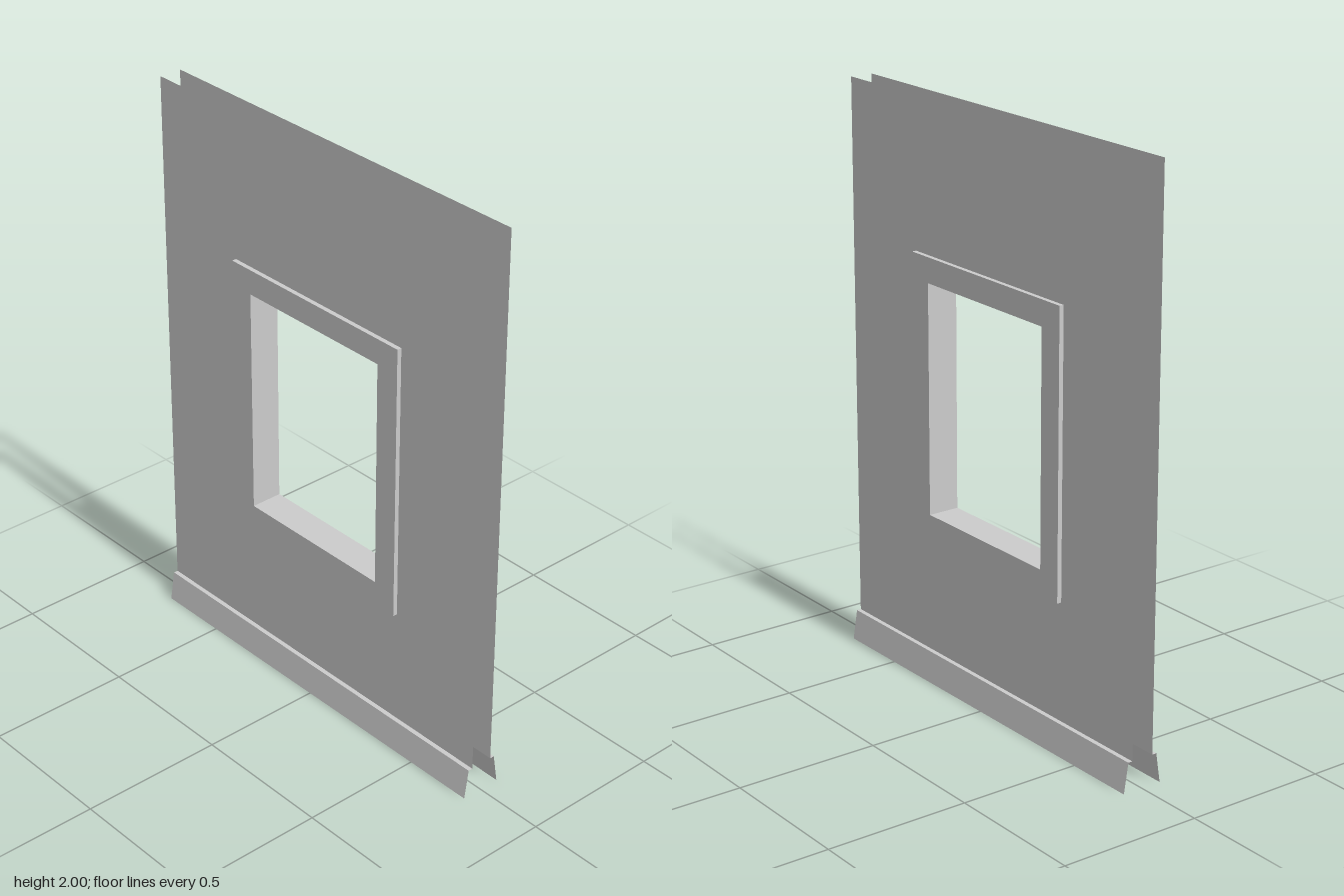
import * as THREE from 'three';

const W = 0.75, H = 2;                 // half width and height of the wall
const WALL_Z = 0.04, TRIM_Z = 0.056, FOOT_Z = 0.072;
const SKIRT_Y = 0.104;                 // top of the skirting
const OPEN_W = 0.3, OPEN_H = 0.4;      // half size of the window opening
const TRIM_W = 0.388, TRIM_H = 0.487;  // half size of the window trim
const MID_Y = 1;

const material = new THREE.MeshStandardMaterial({ color: 0xcccccc, side: THREE.DoubleSide, flatShading: true });

function part(name, geometry) {
  const mesh = new THREE.Mesh(geometry, material);
  mesh.name = name;
  return mesh;
}

function rect(target, x, y0, y1) {
  target.moveTo(-x, y0);
  target.lineTo(x, y0);
  target.lineTo(x, y1);
  target.lineTo(-x, y1);
  target.closePath();
  return target;
}

// Rectangle with a rectangular hole, both centred on the window
function framed(x, y0, y1, holeX, holeH) {
  const shape = rect(new THREE.Shape(), x, y0, y1);
  shape.holes.push(rect(new THREE.Path(), holeX, MID_Y - holeH, MID_Y + holeH));
  return shape;
}

// Open strip across the full width, following a profile of [y, z] points
function strip(profile) {
  const geometry = new THREE.PlaneGeometry(2 * W, 1, 1, profile.length - 1);
  const pos = geometry.attributes.position;
  for (let i = 0; i < pos.count; i++) {
    const [y, z] = profile[Math.floor(i / 2)];
    pos.setXYZ(i, pos.getX(i), y, z);
  }
  geometry.computeVertexNormals();
  return geometry;
}

function createSide(name) {
  const side = new THREE.Group();
  side.name = name;

  // Thin wall sheet, ending at the skirting
  const wall = part('wallPanel', new THREE.ShapeGeometry(framed(W, SKIRT_Y, H, TRIM_W, TRIM_H)));
  wall.position.z = WALL_Z;

  // Raised trim around the window
  const trim = part('windowTrim', new THREE.ExtrudeGeometry(
    framed(TRIM_W, MID_Y - TRIM_H, MID_Y + TRIM_H, OPEN_W, OPEN_H),
    { depth: TRIM_Z - WALL_Z, bevelEnabled: false }));
  trim.position.z = WALL_Z;

  // Skirting: narrow ledge, then a face flaring out to the floor
  const skirting = part('skirting', strip([[SKIRT_Y, WALL_Z], [SKIRT_Y, TRIM_Z], [0, FOOT_Z]]));

  side.add(wall, trim, skirting);
  return side;
}

export function createModel() {
  const model = new THREE.Group();
  model.name = 'windowWall';

  const front = createSide('frontSide');
  const back = createSide('backSide');
  back.rotation.y = Math.PI;
  model.add(front, back);

  // Lining of the opening between the two sheets
  const lining = new THREE.Group();
  lining.name = 'windowLining';
  for (const s of [-1, 1]) {
    const jamb = part('jamb', new THREE.PlaneGeometry(2 * WALL_Z, 2 * OPEN_H));
    jamb.position.set(s * OPEN_W, MID_Y, 0);
    jamb.rotation.y = -s * Math.PI / 2;
    const sill = part(s < 0 ? 'sill' : 'head', new THREE.PlaneGeometry(2 * OPEN_W, 2 * WALL_Z));
    sill.position.set(0, MID_Y + s * OPEN_H, 0);
    sill.rotation.x = s * Math.PI / 2;
    lining.add(jamb, sill);
  }
  model.add(lining);
  return model;
}
